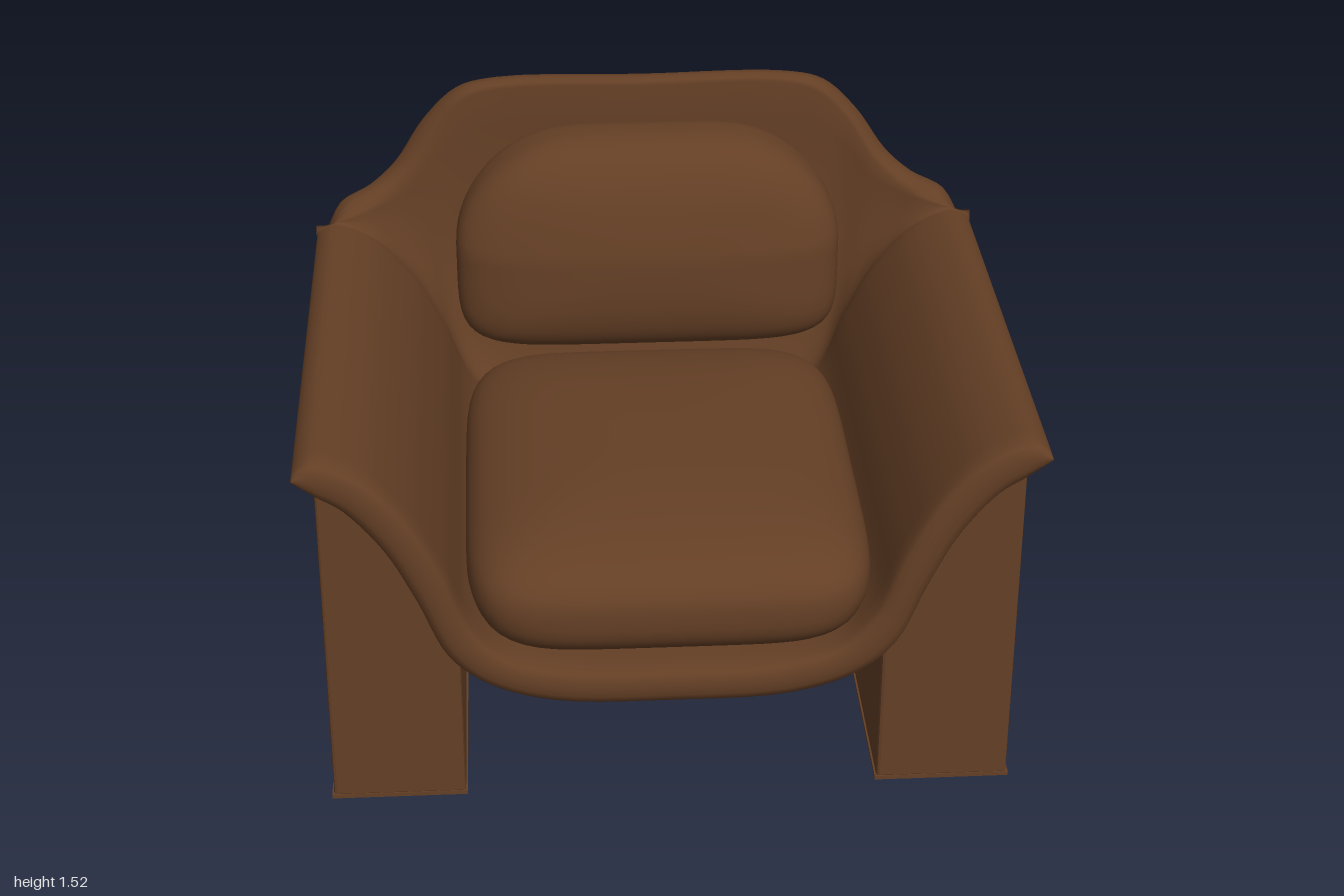
import * as THREE from 'three';
import { mergeVertices } from 'three/addons/utils/BufferGeometryUtils.js';

const leather = new THREE.MeshStandardMaterial({ color: 0x643f25 });
leather.name = 'brown leather';

function part(name, geometry, parent) {
  const mesh = new THREE.Mesh(geometry, leather);
  mesh.name = name;
  parent.add(mesh);
  return mesh;
}

// Half profiles of the shell, from the arm lip to the centre line
const OUTER = [[0.945, 1.04], [0.87, 0.985], [0.77, 0.86], [0.69, 0.7], [0.61, 0.515], [0.51, 0.425], [0.33, 0.363], [0, 0.35]];
const INNER = [[0.95, 1.145], [0.83, 1.1], [0.71, 0.97], [0.62, 0.8], [0.55, 0.62], [0.46, 0.52], [0.3, 0.47], [0, 0.46]];
// Top edge of the backrest, matching the profile points
const RIM = [[0.99, 1.08, -0.62], [0.93, 1.17, -0.72], [0.84, 1.2, -0.78], [0.76, 1.26, -0.82],
  [0.67, 1.38, -0.865], [0.57, 1.47, -0.88], [0.45, 1.498, -0.885], [0, 1.498, -0.885]];
const INNER_RIM = RIM.map(([x, y, z], i) => (i ? [x * 0.94, y, z + 0.085] : [0.95, 1.145, -0.62]));

// Closed loop: outside left to right, lip, inside right to left, lip
function closedLoop(outer, inner, tip) {
  const flip = ([x, ...rest]) => [-x, ...rest];
  const full = (half) => [...half, ...half.slice(0, -1).reverse().map(flip)];
  return [...full(outer), flip(tip), ...full(inner).reverse(), tip];
}

// Seat tub: U section swept backwards, then curving up into the backrest
function shellGeometry() {
  const base = closedLoop(OUTER, INNER, [1.0, 1.1]);
  const rim = closedLoop(RIM, INNER_RIM, [1.0, 1.12, -0.63]);
  const count = base.length;
  const samples = count * 5;
  const partner = (k) => (count - 2 - k + count) % count;
  const rows = [];

  const addRow = (z, t, shrink, lift = 0) => {
    const a = t * Math.PI / 2;
    const pts = base.map(([x, y], k) => new THREE.Vector3(
      THREE.MathUtils.lerp(x, rim[k][0], t),
      THREE.MathUtils.lerp(y, rim[k][1], 1 - Math.cos(a)) + lift,
      THREE.MathUtils.lerp(z, rim[k][2], Math.sin(a))));
    const closed = pts.map((p, k) => p.clone().lerp(pts[partner(k)], shrink / 2));
    const curve = new THREE.CatmullRomCurve3(closed, true);
    rows.push(Array.from({ length: samples }, (_, i) => curve.getPoint(i / samples)));
  };

  // Rounded front edge
  addRow(0.82, 0, 1);
  addRow(0.82, 0, 0.6);
  addRow(0.81, 0, 0.2);
  addRow(0.79, 0, 0);
  for (const z of [0.74, 0.4, 0, -0.4, -0.55]) addRow(z, 0, 0);
  // Bowl of the back
  for (let i = 0; i <= 14; i++) addRow(-0.6, i / 14, 0);
  // Rounded top edge
  addRow(-0.6, 1, 0.3, 0.01);
  addRow(-0.6, 1, 0.7, 0.015);
  addRow(-0.6, 1, 1, 0.016);

  const position = rows.flatMap((row) => row.flatMap((p) => [p.x, p.y, p.z]));
  const index = [];
  for (let r = 0; r < rows.length - 1; r++) {
    for (let k = 0; k < samples; k++) {
      const a = r * samples + k;
      const b = r * samples + (k + 1) % samples;
      index.push(a, b, a + samples, b, b + samples, a + samples);
    }
  }
  const geometry = new THREE.BufferGeometry();
  geometry.setAttribute('position', new THREE.Float32BufferAttribute(position, 3));
  geometry.setIndex(index);
  geometry.computeVertexNormals();
  return geometry;
}

// Padded block: a cube inflated to a superellipsoid, then bent by a rule.
// `round` is the exponent across x and the flat axis, `soft` that of the thin axis.
function cushionGeometry(half, thin, round, soft, bend) {
  let geometry = new THREE.BoxGeometry(2, 2, 2, 24, 24, 24);
  geometry.deleteAttribute('uv');
  geometry.deleteAttribute('normal');
  geometry = mergeVertices(geometry);
  const pos = geometry.attributes.position;
  const v = new THREE.Vector3();
  const flat = thin === 'y' ? 'z' : 'y';
  for (let i = 0; i < pos.count; i++) {
    v.fromBufferAttribute(pos, i);
    const plan = Math.abs(v.x) ** round + Math.abs(v[flat]) ** round;
    v.divideScalar((plan ** (soft / round) + Math.abs(v[thin]) ** soft) ** (1 / soft));
    const n = v.clone();
    v.multiply(half);
    bend(v, n);
    pos.setXYZ(i, v.x, v.y, v.z);
  }
  geometry.computeVertexNormals();
  return geometry;
}

// Slab leg whose top follows the underside of the shell
function legGeometry() {
  const shape = new THREE.Shape();
  shape.moveTo(0.59, 0.04);
  shape.lineTo(0.94, 0.04);
  shape.lineTo(0.94, 1.06);
  for (const [x, y] of [[0.89, 1.03], [0.78, 0.91], [0.7, 0.76], [0.63, 0.58], [0.59, 0.5]]) shape.lineTo(x, y);
  const geometry = new THREE.ExtrudeGeometry(shape, {
    depth: 1.35, bevelEnabled: true, bevelSize: 0.01, bevelThickness: 0.01, bevelSegments: 2,
  });
  return geometry.translate(0, 0, -0.6);
}

export function createModel() {
  const model = new THREE.Group();
  model.name = 'armchair';

  part('seatShell', shellGeometry(), model);

  // Seat cushion, narrower towards the bottom
  part('seatCushion', cushionGeometry(new THREE.Vector3(0.56, 0.2, 0.69), 'y', 6, 2.8, (v, n) => {
    v.x *= 1 + 0.08 * Math.min(0, n.y);
  }), model).position.set(0, 0.66, 0.19);

  // Back cushion, narrowing and leaning back towards the top
  part('backCushion', cushionGeometry(new THREE.Vector3(0.575, 0.32, 0.17), 'z', 6, 3, (v, n) => {
    v.x *= 1 - 0.36 * Math.max(0, n.y) ** 2;
    v.z -= v.y * (v.y > 0 ? 0.25 : 0.05);
  }), model).position.set(0, 1.14, -0.485);

  // Legs with base trim and glides
  const slab = legGeometry();
  for (const side of [1, -1]) {
    const leg = new THREE.Group();
    leg.name = side > 0 ? 'leftLeg' : 'rightLeg';
    model.add(leg);
    part('legSlab', side > 0 ? slab : slab.clone().rotateY(Math.PI).translate(0, 0, 0.15), leg);
    part('baseTrim', new THREE.BoxGeometry(0.38, 0.012, 1.375), leg).position.set(side * 0.765, 0.032, 0.075);
    for (const z of [0.685, -0.54]) {
      const glide = part('glide', new THREE.CapsuleGeometry(0.025, 0.25, 4, 12), leg);
      glide.rotation.z = Math.PI / 2;
      glide.position.set(side * 0.765, 0.025, z);
    }
  }
  return model;
}
